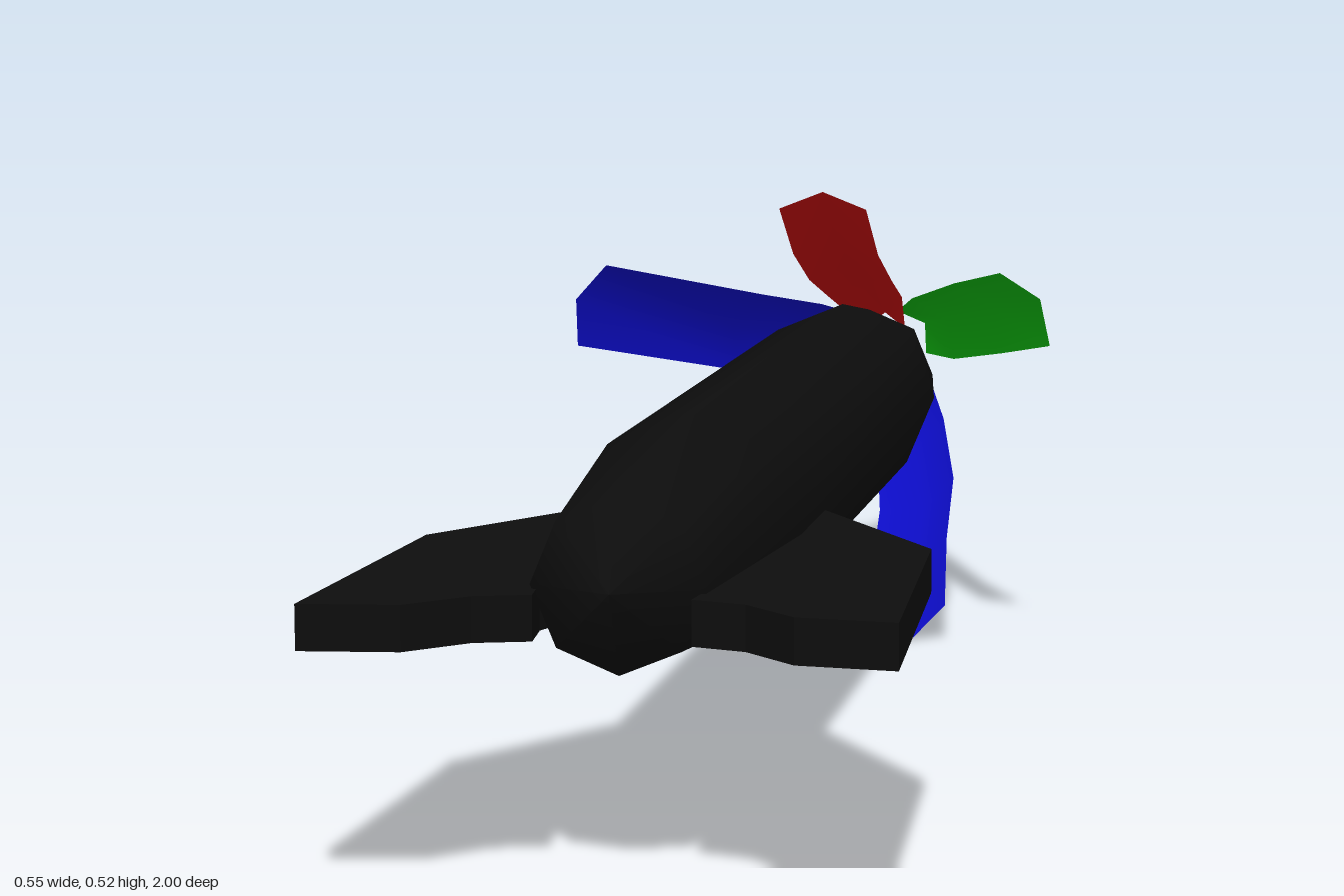
import * as THREE from 'three';

const AXIS_X = 0.01, AXIS_Y = 0.277;

function paint(color) {
  return new THREE.MeshStandardMaterial({ color, side: THREE.DoubleSide });
}

// Bent strip with a raised centre line; stations are [x, y, z, halfWidth], nose end first
function petalGeometry(stations, degrees, ridge) {
  const a = THREE.MathUtils.degToRad(degrees);
  const nx = Math.cos(a), ny = Math.sin(a);
  const positions = [], index = [];
  stations.forEach(([x, y, z, half], i) => {
    for (let j = -1; j <= 1; j++) {
      const lift = j === 0 ? ridge : 0;
      positions.push(x - ny * half * j + nx * lift, y + nx * half * j + ny * lift, z);
    }
    if (i === 0) return;
    for (let j = 0; j < 2; j++) {
      const p = (i - 1) * 3 + j, q = p + 3;
      index.push(p, p + 1, q, p + 1, q + 1, q);
    }
  });
  const g = new THREE.BufferGeometry();
  g.setAttribute('position', new THREE.Float32BufferAttribute(positions, 3));
  g.setIndex(index);
  g.computeVertexNormals();
  return g;
}

export function createModel() {
  const model = new THREE.Group();
  const black = paint(0x0d0d0d), blue = paint(0x0c0cc4);
  const green = paint(0x0fb80f), red = paint(0xcc0f0f);

  const add = (name, geometry, material) => {
    const mesh = new THREE.Mesh(geometry, material);
    mesh.name = name;
    model.add(mesh);
  };

  // Eight-sided body, from tail to nose tip
  const profile = [[0, -0.93], [0.079, -0.89], [0.11, -0.57], [0.11, 0.4], [0.08, 0.62], [0.039, 0.83], [0, 1]]
    .map(([r, h]) => new THREE.Vector2(r, h));
  const body = new THREE.LatheGeometry(profile, 8);
  body.rotateX(-Math.PI / 2);
  body.translate(AXIS_X, AXIS_Y, 0);
  add('body', body, black);

  // Flat tail fins, mirrored about the body axis
  const outline = [[0.06, 0.36], [0.1, 0.41], [0.24, 0.63], [0.26, 0.995], [0.17, 0.985],
    [0.12, 0.935], [0.07, 0.92], [0.075, 0.87], [0.05, 0.8]];
  for (const side of [1, -1]) {
    const shape = new THREE.Shape(outline.map(([x, z]) => new THREE.Vector2(AXIS_X + side * x, z)));
    const fin = new THREE.ExtrudeGeometry(shape, { depth: 0.041, bevelEnabled: false });
    fin.rotateX(Math.PI / 2);
    fin.translate(0, 0.273, 0);
    add(side > 0 ? 'leftTailFin' : 'rightTailFin', fin, black);
  }

  // Coloured petals spreading back from the nose
  add('topPetal', petalGeometry([
    [0, 0.31, -0.835, 0.026], [0, 0.37, -0.65, 0.047], [0, 0.402, -0.53, 0.051],
    [0, 0.445, -0.41, 0.051], [0, 0.507, -0.31, 0.051]], 90, 0.02), red);
  add('leftPetal', petalGeometry([
    [0.035, 0.305, -0.835, 0.033], [0.085, 0.33, -0.66, 0.046], [0.172, 0.373, -0.4, 0.05],
    [0.246, 0.404, -0.22, 0.05]], 35, 0.021), green);
  add('rightPetal', petalGeometry([
    [-0.025, 0.29, -0.835, 0.033], [-0.075, 0.313, -0.68, 0.046], [-0.128, 0.335, -0.54, 0.05],
    [-0.258, 0.398, -0.235, 0.05]], 160, 0.02), blue);
  add('lowerPetal', petalGeometry([
    [0.022, 0.25, -0.835, 0.033], [0.06, 0.2, -0.64, 0.046], [0.084, 0.142, -0.52, 0.05],
    [0.091, 0.088, -0.4, 0.05], [0.101, 0.024, -0.305, 0.05]], -65, 0.02), blue);

  return model;
}
